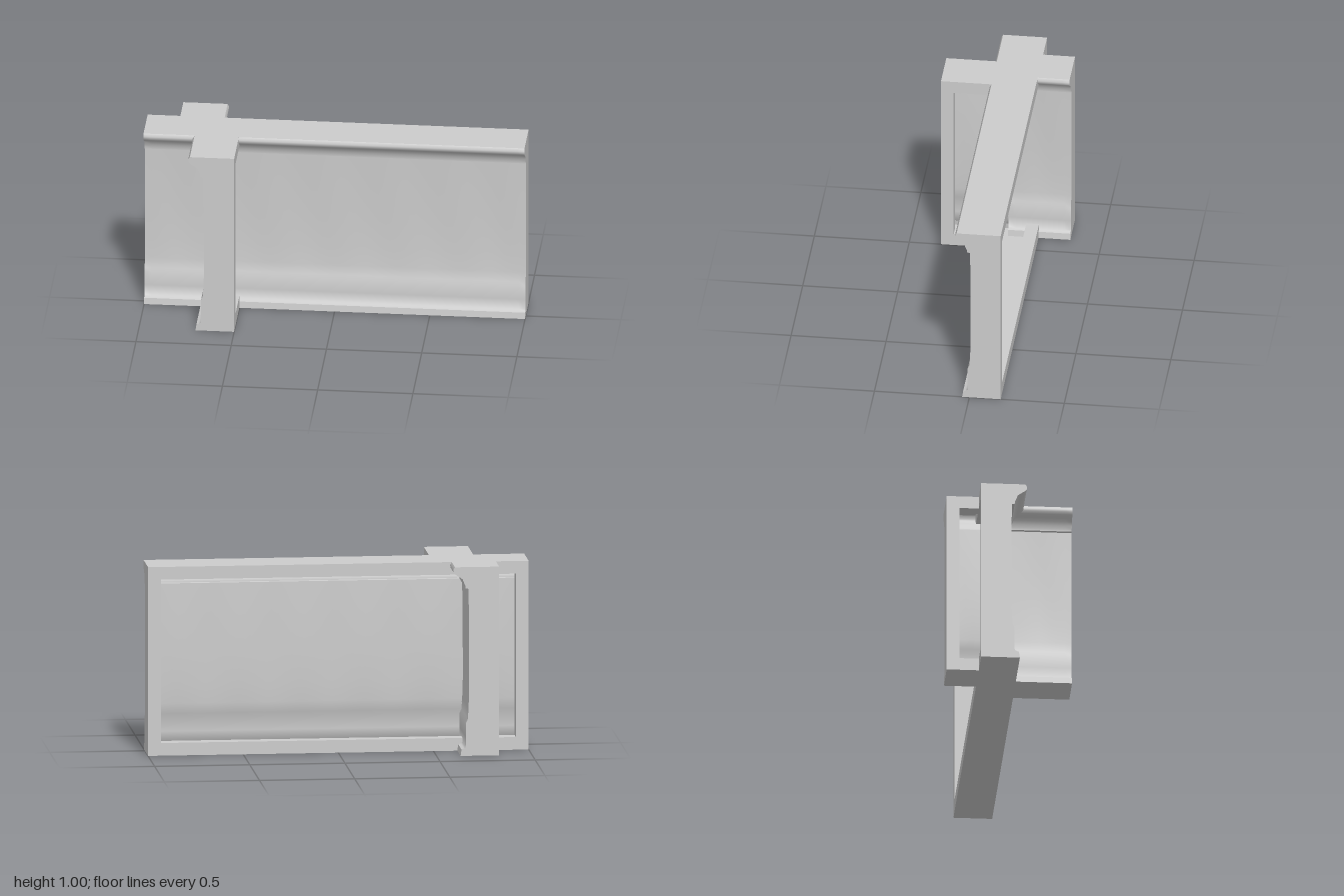
import * as THREE from 'three';
import { toCreasedNormals } from 'three/addons/utils/BufferGeometryUtils.js';

const material = new THREE.MeshStandardMaterial({ color: 0xcccccc });
const thin = new THREE.MeshStandardMaterial({ color: 0xcccccc, side: THREE.DoubleSide });
const BAR = 0.067; // thickness of the square frame bars

// Moulded shell as [depth, height] points, from the top round to the underside; depth 0 is the framed side
const profile = [[0, 1], [0.232, 1], [0.241, 0.985], [0.239, 0.972], [0.228, 0.96], [0.208, 0.947], [0.192, 0.935],
  [0.184, 0.915], [0.177, 0.9], [0.176, 0.887], [0.162, 0.885], [0.16, 0.8], [0.159, 0.65], [0.158, 0.5], [0.158, 0.35],
  [0.161, 0.25], [0.165, 0.195], [0.174, 0.175], [0.175, 0.1], [0.176, 0.045], [0.184, 0.039], [0.198, 0.034],
  [0.203, 0], [0, 0]];

// Shallow vertical ripples in the field of the panel
function ripple(y, s, length) {
  if (y < 0.21 || y > 0.84) return 0;
  const fade = Math.min(1, s / 0.15, (length - s) / 0.15);
  const height = Math.sin((Math.PI * (y - 0.2)) / 0.65);
  return -0.006 * fade * height * (0.5 - 0.5 * Math.cos((2 * Math.PI * s) / 0.33));
}

// Thin shell: the profile swept along the run
function makeShell(length) {
  const steps = Math.round(length / 0.035);
  const positions = [];
  const indices = [];
  const n = profile.length;
  for (let i = 0; i <= steps; i++) {
    const s = (length * i) / steps;
    for (const [d, y] of profile) positions.push(d + ripple(y, s, length), y, s);
  }
  for (let i = 0; i < steps; i++) {
    for (let j = 0; j < n - 1; j++) {
      const a = i * n + j;
      const b = a + n;
      indices.push(a, b, a + 1, b, b + 1, a + 1);
    }
  }
  const geometry = new THREE.BufferGeometry();
  geometry.setAttribute('position', new THREE.Float32BufferAttribute(positions, 3));
  geometry.setIndex(indices);
  const mesh = new THREE.Mesh(toCreasedNormals(geometry, 0.95), thin);
  mesh.name = 'mouldedShell';
  return mesh;
}

// Flat plate closing the end of a run
function makeEndPlate(s) {
  const shape = new THREE.Shape(profile.map(([d, y]) => new THREE.Vector2(d, y)));
  const mesh = new THREE.Mesh(new THREE.ShapeGeometry(shape), thin);
  mesh.position.z = s;
  mesh.name = 'endPlate';
  return mesh;
}

// Square bar of the open frame
function makeBar(name, height, y, from, to) {
  const mesh = new THREE.Mesh(new THREE.BoxGeometry(BAR, height, to - from), material);
  mesh.position.set(BAR / 2, y, (from + to) / 2);
  mesh.name = name;
  return mesh;
}

// One hollow wall run: moulded shell on one side, open frame on the other
function wallRun(name, length, frameLength, closedAtEnd) {
  const group = new THREE.Group();
  group.name = name;
  group.add(makeShell(length), makeEndPlate(0));
  group.add(makeBar('topBar', BAR, 1 - BAR / 2, 0, frameLength));
  group.add(makeBar('bottomBar', BAR, BAR / 2, 0, frameLength));
  group.add(makeBar('endBar', 1 - 2 * BAR, 0.5, 0, BAR));
  if (closedAtEnd) {
    group.add(makeEndPlate(length));
    group.add(makeBar('endBar', 1 - 2 * BAR, 0.5, length - BAR, length));
  }
  return group;
}

export function createModel() {
  const model = new THREE.Group();
  model.name = 'wallJunction';

  // Long wall, moulded side to the front
  const main = wallRun('longWall', 2, 2, true);
  main.rotation.y = -Math.PI / 2;
  main.position.set(1, 0, -0.165);

  // Front branch, moulded side to the model's right
  const front = wallRun('frontBranch', 0.338, 0.3, false);
  front.rotation.y = Math.PI;
  front.position.set(-0.5, 0, 0.333);

  // Back branch, moulded side to the model's left, reaching the long panel
  const back = wallRun('backBranch', 0.328, 0.17, false);
  back.position.set(-0.828, 0, -0.333);

  model.add(main, front, back);
  return model;
}
